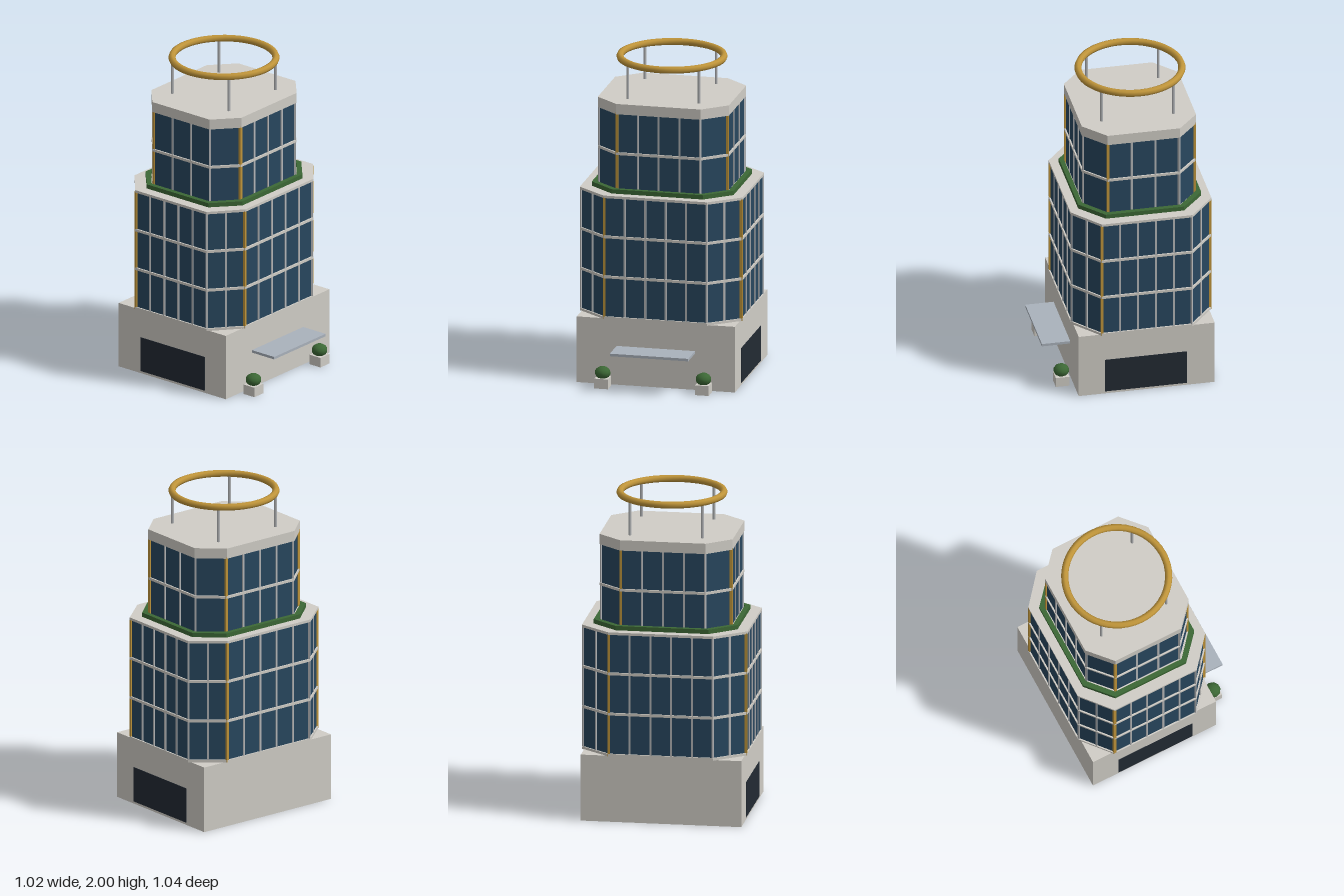
import * as THREE from 'three';

const mat = (color) => new THREE.MeshStandardMaterial({ color });
const STONE = mat(0xd0cdc6), GLASS = mat(0x28475f), SILVER = mat(0xb4b6b8), GOLD = mat(0xc0953a);
const GREEN = mat(0x3c6835), DARK = mat(0x222a33), CANOPY = mat(0xaab2bc);
const CZ = -0.083; // the tower sits slightly behind the centre

function add(parent, name, geometry, material, x = 0, y = 0, z = 0) {
  const m = new THREE.Mesh(geometry, material);
  m.name = name;
  m.position.set(x, y, z);
  parent.add(m);
  return m;
}

// Chamfered rectangle as [x, z]: half sizes hx, hz and half flat lengths fx, fz
const octagon = ({ hx, hz, fx, fz }) => [
  [-fx, hz], [fx, hz], [hx, fz], [hx, -fz], [fx, -hz], [-fx, -hz], [-hx, -fz], [-hx, fz],
];
const grow = (p, d) => ({ hx: p.hx + d, hz: p.hz + d, fx: p.fx + d * 0.4, fz: p.fz + d * 0.4 });
const toPoints = (p) => octagon(p).map(([x, z]) => new THREE.Vector2(x, -z));

// Upright octagonal prism between two heights, optionally hollow
function prism(plan, y0, y1, inner) {
  const shape = new THREE.Shape(toPoints(plan));
  if (inner) shape.holes.push(new THREE.Path(toPoints(inner)));
  const g = new THREE.ExtrudeGeometry(shape, { depth: y1 - y0, bevelEnabled: false });
  return g.rotateX(-Math.PI / 2).translate(0, y0, 0);
}

// Glass storey block with floor bands and mullions; every second corner is gold
function glassBlock(name, plan, y0, y1, bands, divisions) {
  const g = new THREE.Group();
  g.name = name;
  add(g, 'glazing', prism(plan, y0, y1), GLASS);
  for (const y of bands) add(g, 'floorBand', prism(grow(plan, 0.009), y - 0.008, y + 0.008), STONE);
  const pts = octagon(plan);
  pts.forEach(([ax, az], i) => {
    const [bx, bz] = pts[(i + 1) % 8];
    const n = divisions[i % 4];
    for (let k = 0; k < n; k++) {
      const gold = k === 0 && i % 2 === 0;
      const w = gold ? 0.016 : 0.012;
      const m = add(g, gold ? 'goldMullion' : 'mullion', new THREE.BoxGeometry(w, y1 - y0, w),
        gold ? GOLD : SILVER, ax + (bx - ax) * k / n, (y0 + y1) / 2, az + (bz - az) * k / n);
      m.rotation.y = -Math.atan2(bz - az, bx - ax);
    }
  });
  return g;
}

export function createModel() {
  const model = new THREE.Group();
  model.name = 'tower';

  // Podium with dark side openings
  add(model, 'podium', new THREE.BoxGeometry(0.988, 0.415, 0.845), STONE, 0, 0.2075, CZ);
  for (const s of [-1, 1]) {
    add(model, 'sideOpening', new THREE.BoxGeometry(0.01, 0.22, 0.507), DARK, s * 0.492, 0.125, -0.078);
  }

  // Entrance canopy
  add(model, 'canopy', new THREE.BoxGeometry(0.49, 0.016, 0.195), CANOPY, 0, 0.237, 0.418);

  // Planters with clipped shrubs
  for (const s of [-1, 1]) {
    add(model, 'planter', new THREE.BoxGeometry(0.085, 0.062, 0.085), STONE, s * 0.315, 0.031, 0.41);
    const shrub = add(model, 'shrub', new THREE.SphereGeometry(0.049, 10, 7), GREEN, s * 0.315, 0.092, 0.41);
    shrub.scale.y = 0.8;
  }

  // Octagonal upper building
  const tower = new THREE.Group();
  tower.name = 'glassTower';
  tower.position.z = CZ;
  model.add(tower);
  const mid = { hx: 0.5, hz: 0.428, fx: 0.32, fz: 0.278 };
  const top = { hx: 0.4, hz: 0.345, fx: 0.26, fz: 0.22 };
  tower.add(glassBlock('middleStoreys', mid, 0.415, 1.185, [0.422, 0.68, 0.933, 1.187], [5, 2, 5, 2]));
  tower.add(glassBlock('upperStoreys', top, 1.19, 1.7, [1.2, 1.44], [4, 1, 3, 1]));

  // Terrace hedge and roof cap
  add(tower, 'terraceHedge', prism({ hx: 0.443, hz: 0.382, fx: 0.286, fz: 0.243 }, 1.19, 1.222,
    { hx: 0.413, hz: 0.353, fx: 0.268, fz: 0.228 }), GREEN);
  add(tower, 'roofCap', prism({ hx: 0.41, hz: 0.355, fx: 0.264, fz: 0.225 }, 1.69, 1.755), STONE);

  // Roof ring on four posts
  const ring = add(tower, 'roofRing', new THREE.TorusGeometry(0.316, 0.022, 8, 48), GOLD, 0, 1.978, 0);
  ring.rotation.x = Math.PI / 2;
  for (const sx of [-1, 1]) for (const sz of [-1, 1]) {
    add(tower, 'ringPost', new THREE.CylinderGeometry(0.009, 0.009, 0.225, 8), SILVER, sx * 0.223, 1.8625, sz * 0.223);
  }
  return model;
}
